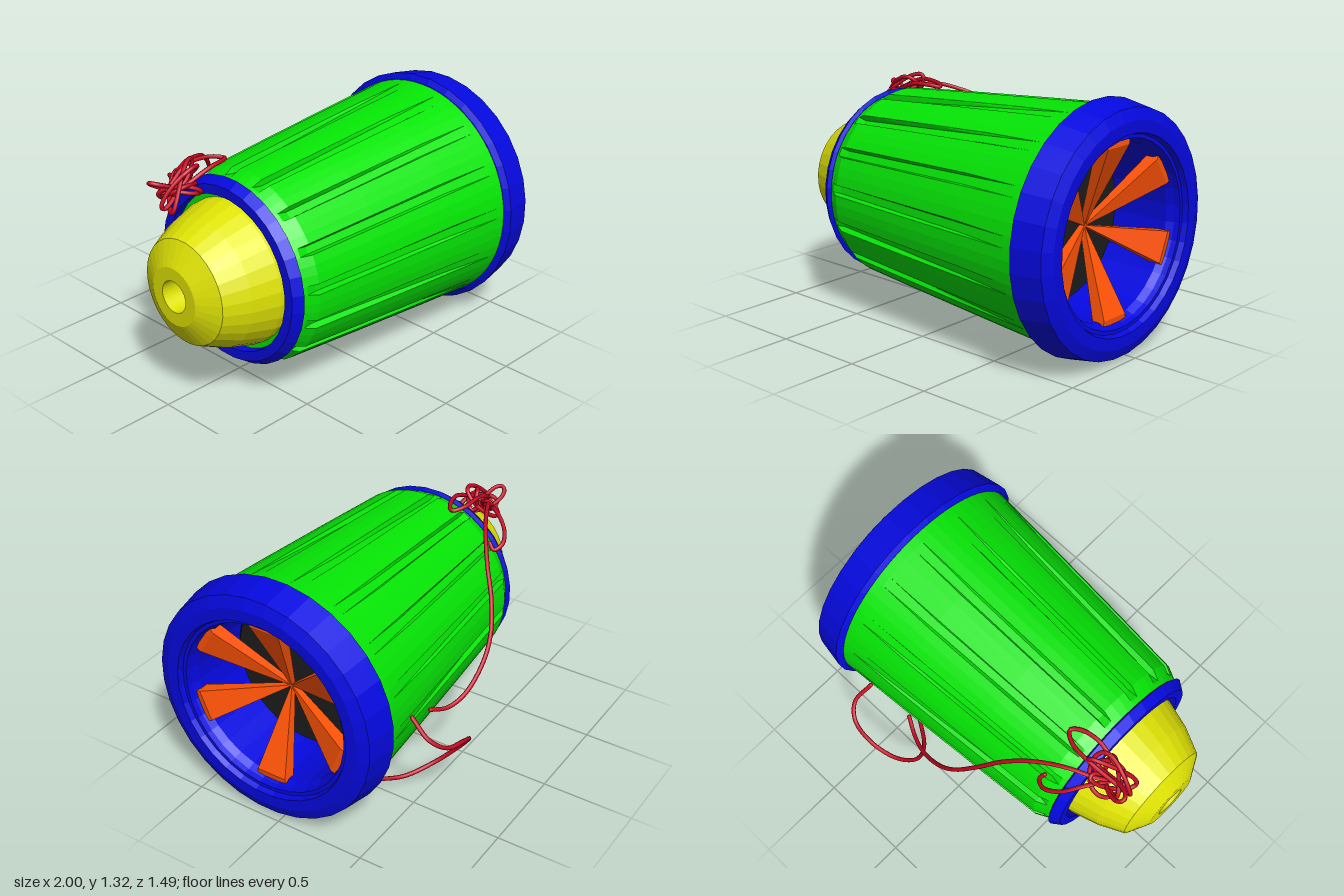
import * as THREE from 'three';
import { ConvexGeometry } from 'three/addons/geometries/ConvexGeometry.js';

const SIDES = 32;
const rad = THREE.MathUtils.degToRad;
const paint = (color, flat = true) => new THREE.MeshStandardMaterial({ color, flatShading: flat });
const blue = paint(0x0509e0), green = paint(0x05e605), yellow = paint(0xe0e404);
const black = paint(0x1c1c1c), orange = paint(0xff5306), red = paint(0xc40822, false);

function named(name, geometry, material) {
  const mesh = new THREE.Mesh(geometry, material);
  mesh.name = name;
  return mesh;
}

// Turned part about the x axis; profile is a list of [x, radius]
function turned(name, profile, material) {
  const points = profile.map(([x, r]) => new THREE.Vector2(r, x));
  const geometry = new THREE.LatheGeometry(points, SIDES, Math.PI / SIDES);
  return named(name, geometry.rotateZ(-Math.PI / 2), material);
}

// Tapered body with 16 lengthwise grooves that fade out toward the wide end
function groovedBody() {
  const stations = [ // x, radius, groove depth
    [-0.61, 0.478, 0], [-0.575, 0.495, 0], [-0.52, 0.522, 0.033],
    [-0.1, 0.557, 0.025], [0.4, 0.596, 0.012], [0.74, 0.621, 0], [0.8, 0.625, 0],
  ];
  const offsets = [[-3.1, 0], [-2.2, 1], [2.2, 1], [3.1, 0], [8.5, 0], [14, 0]]; // degrees, cut
  const grooves = 16, around = grooves * offsets.length;
  const positions = [], index = [];
  for (const [x, r, depth] of stations)
    for (let g = 0; g < grooves; g++)
      for (const [offset, cut] of offsets) {
        const a = rad(6 + g * 360 / grooves + offset), q = r - cut * depth;
        positions.push(x, q * Math.sin(a), q * Math.cos(a));
      }
  for (let s = 0; s < stations.length - 1; s++)
    for (let i = 0; i < around; i++) {
      const a = s * around + i, b = s * around + (i + 1) % around;
      index.push(a, a + around, b, b, a + around, b + around);
    }
  const geometry = new THREE.BufferGeometry();
  geometry.setAttribute('position', new THREE.Float32BufferAttribute(positions, 3));
  geometry.setIndex(index);
  geometry.computeVertexNormals();
  return named('groovedBody', geometry, green);
}

// Wedge blade leaning outward from the recessed hub, with a chamfered tip
function blade(degrees) {
  const points = [];
  for (const [r, halfWidth, front, back] of [
    [0, 0.002, 0.73, 0.70], [0.435, 0.085, 0.93, 0.86], [0.477, 0.093, 0.925, 0.87],
  ])
    for (const side of [-1, 1])
      points.push(new THREE.Vector3(front, r, side * halfWidth), new THREE.Vector3(back, r, side * halfWidth));
  const mesh = named('fanBlade', new ConvexGeometry(points), orange);
  mesh.rotation.x = rad(degrees);
  return mesh;
}

// Round cord through a few points, with closed ends
function cord(name, points, segments = 80) {
  const group = new THREE.Group();
  group.name = name;
  const path = points.map(p => new THREE.Vector3(...p));
  const radius = 0.0115;
  group.add(named('cord', new THREE.TubeGeometry(new THREE.CatmullRomCurve3(path), segments, radius, 8), red));
  for (const end of [path[0], path[path.length - 1]]) {
    const tip = named('cordEnd', new THREE.SphereGeometry(radius, 8, 6), red);
    tip.position.copy(end);
    group.add(tip);
  }
  return group;
}

export function createModel() {
  const model = new THREE.Group();
  model.name = 'fanCasing';

  const casing = new THREE.Group();
  casing.name = 'casing';
  casing.position.set(0, 0.664, 0.085);
  model.add(casing);

  casing.add(groovedBody());
  casing.add(turned('bodyEndCap', [[-0.61, 0], [-0.61, 0.478]], green));

  // Wide collar with stepped mouth and inner tunnel
  casing.add(turned('frontCollar', [
    [0.79, 0.6], [0.79, 0.633], [0.81, 0.661], [0.975, 0.632], [1, 0.573], [1, 0.51],
    [0.97, 0.5], [0.97, 0.48], [0.94, 0.475], [0.9, 0.458], [0.55, 0.455],
  ], blue));
  casing.add(turned('tunnelFloor', [[0.56, 0.456], [0.6, 0.425], [0.6, 0]], black));
  for (const degrees of [0, 56.5, 112.5, 180, -112.5, -56.5]) casing.add(blade(degrees));

  // Narrow collar
  casing.add(turned('rearCollar', [
    [-0.66, 0.42], [-0.66, 0.472], [-0.61, 0.507], [-0.6, 0.488], [-0.6, 0.42], [-0.66, 0.42],
  ], blue));

  // Rounded nozzle with a central hole
  casing.add(turned('nozzle', [
    [-0.8, 0], [-0.8, 0.085], [-1, 0.085], [-1, 0.155], [-0.935, 0.28],
    [-0.8, 0.343], [-0.65, 0.387], [-0.6, 0.39],
  ], yellow));

  // Long cord draped over the back
  model.add(cord('drapedCord', [
    [-0.8, 1.08, -0.12], [-0.72, 1.13, -0.2], [-0.6, 1.15, -0.26], [-0.5, 1.13, -0.31],
    [-0.4, 1.09, -0.37], [-0.3, 1.01, -0.44], [-0.2, 0.89, -0.525], [-0.1, 0.76, -0.585],
    [0, 0.65, -0.605], [0.15, 0.53, -0.59], [0.26, 0.49, -0.55], [0.35, 0.51, -0.5],
  ]));
  // Loose loop standing off the back
  model.add(cord('looseLoop', [
    [0.59, 0.63, -0.54], [0.61, 0.55, -0.65], [0.55, 0.49, -0.715], [0.42, 0.455, -0.735],
    [0.28, 0.36, -0.69], [0.228, 0.22, -0.59], [0.28, 0.12, -0.49], [0.42, 0.077, -0.39],
    [0.58, 0.12, -0.29],
  ]));
  // Loops from the tangle over the narrow collar
  model.add(cord('tangleLoop', [
    [-0.82, 1.1, -0.15], [-0.66, 1.18, -0.18], [-0.52, 1.18, -0.17], [-0.46, 1.17, -0.125],
    [-0.5, 1.18, -0.09], [-0.6, 1.18, -0.07], [-0.75, 1.12, -0.09],
  ], 50));
  model.add(cord('tangleEnd', [
    [-0.78, 1.07, -0.13], [-0.7, 1.1, -0.26], [-0.62, 1.05, -0.36], [-0.54, 1.01, -0.395],
    [-0.49, 0.99, -0.37], [-0.5, 1.02, -0.34],
  ], 40));

  // Loose tangled bundle on the slope of the nozzle
  const bundle = [];
  for (let i = 0; i <= 60; i++) {
    const t = i / 60 * Math.PI * 2;
    const along = 0.1 * Math.sin(5 * t) + 0.03 * Math.sin(2 * t);
    bundle.push([
      -0.76 + along,
      1.1 + 0.3 * along + 0.055 * Math.sin(6 * t + 1) + 0.03 * Math.cos(3 * t),
      -0.145 + 0.06 * Math.cos(4 * t + 0.6) + 0.035 * Math.sin(7 * t),
    ]);
  }
  model.add(cord('tangledCord', bundle, 300));

  return model;
}
